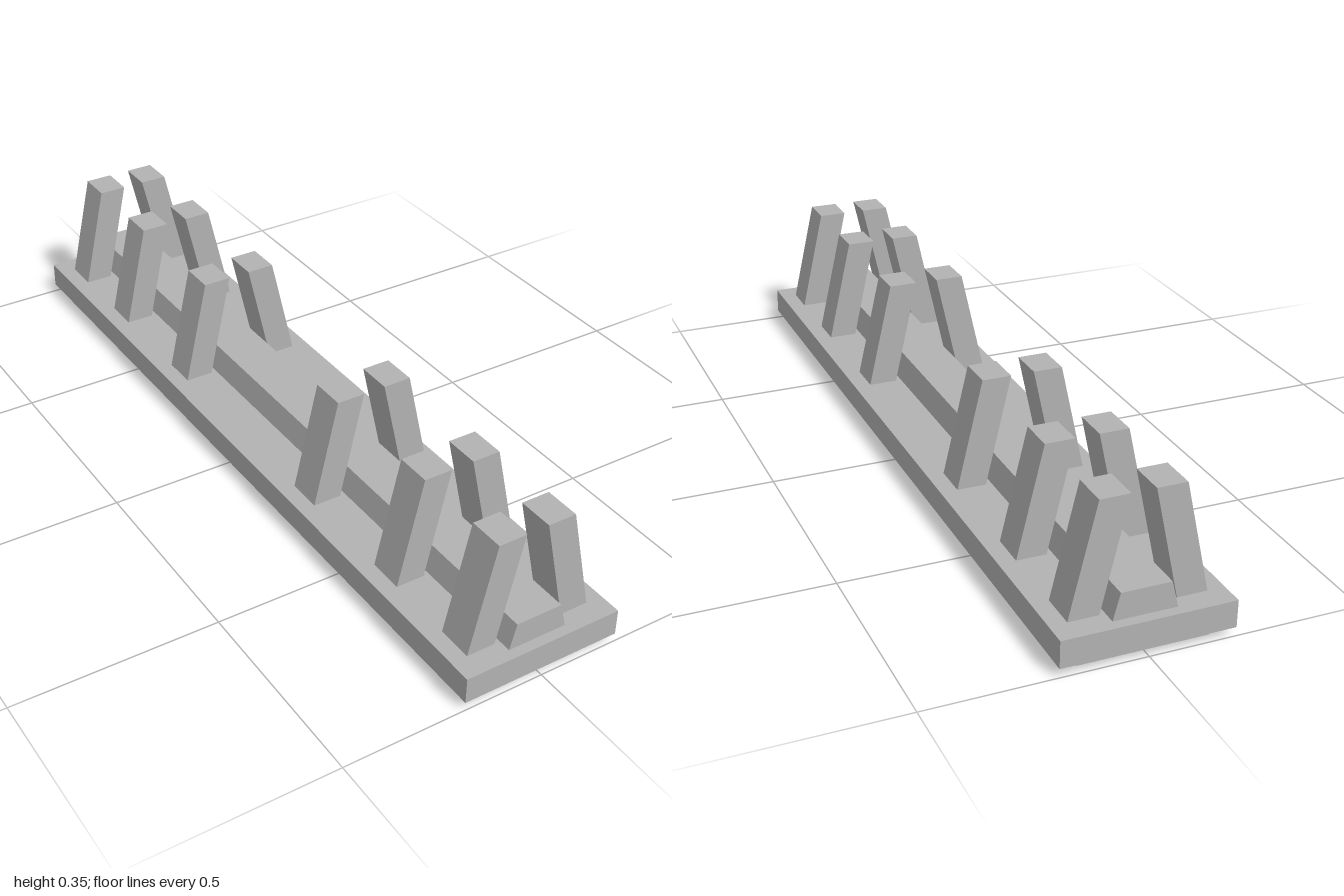
import * as THREE from 'three';

const grey = new THREE.MeshStandardMaterial({ name: 'plainGrey', color: 0xb2b2b2 });

// Cross-section in x/y, extruded along z and centred on zCentre
function prism(name, points, length, zCentre = 0) {
  const shape = new THREE.Shape(points.map(([x, y]) => new THREE.Vector2(x, y)));
  const geometry = new THREE.ExtrudeGeometry(shape, { depth: length, bevelEnabled: false });
  geometry.translate(0, 0, zCentre - length / 2);
  const mesh = new THREE.Mesh(geometry, grey);
  mesh.name = name;
  return mesh;
}

// Symmetric trapezoid from half-widths at two heights
const trapezoid = (low, y0, high, y1) => [[-low, y0], [low, y0], [high, y1], [-high, y1]];

export function createModel() {
  const model = new THREE.Group();
  model.name = 'postRack';
  const slabBottom = 0.021, slabTop = 0.086, postTop = 0.352;

  // Chamfered foot, slab and central rail
  model.add(prism('foot', trapezoid(0.151, 0, 0.171, slabBottom), 1.95));
  const slab = new THREE.Mesh(new THREE.BoxGeometry(0.4, slabTop - slabBottom, 2), grey);
  slab.name = 'slab';
  slab.position.y = (slabBottom + slabTop) / 2;
  model.add(slab);
  model.add(prism('centreRail', trapezoid(0.074, slabTop, 0.058, 0.149), 1.95));

  // Pairs of posts leaning inward
  const posts = new THREE.Group();
  posts.name = 'posts';
  for (const z of [-0.9, -0.645, -0.308, 0.308, 0.645, 0.9]) {
    for (const side of [-1, 1]) {
      const outline = [[0.088, slabTop], [0.159, slabTop], [0.098, postTop], [0.028, postTop]];
      posts.add(prism(side > 0 ? 'leftPost' : 'rightPost',
        outline.map(([x, y]) => [x * side, y]), 0.088, z));
    }
  }
  model.add(posts);
  return model;
}
